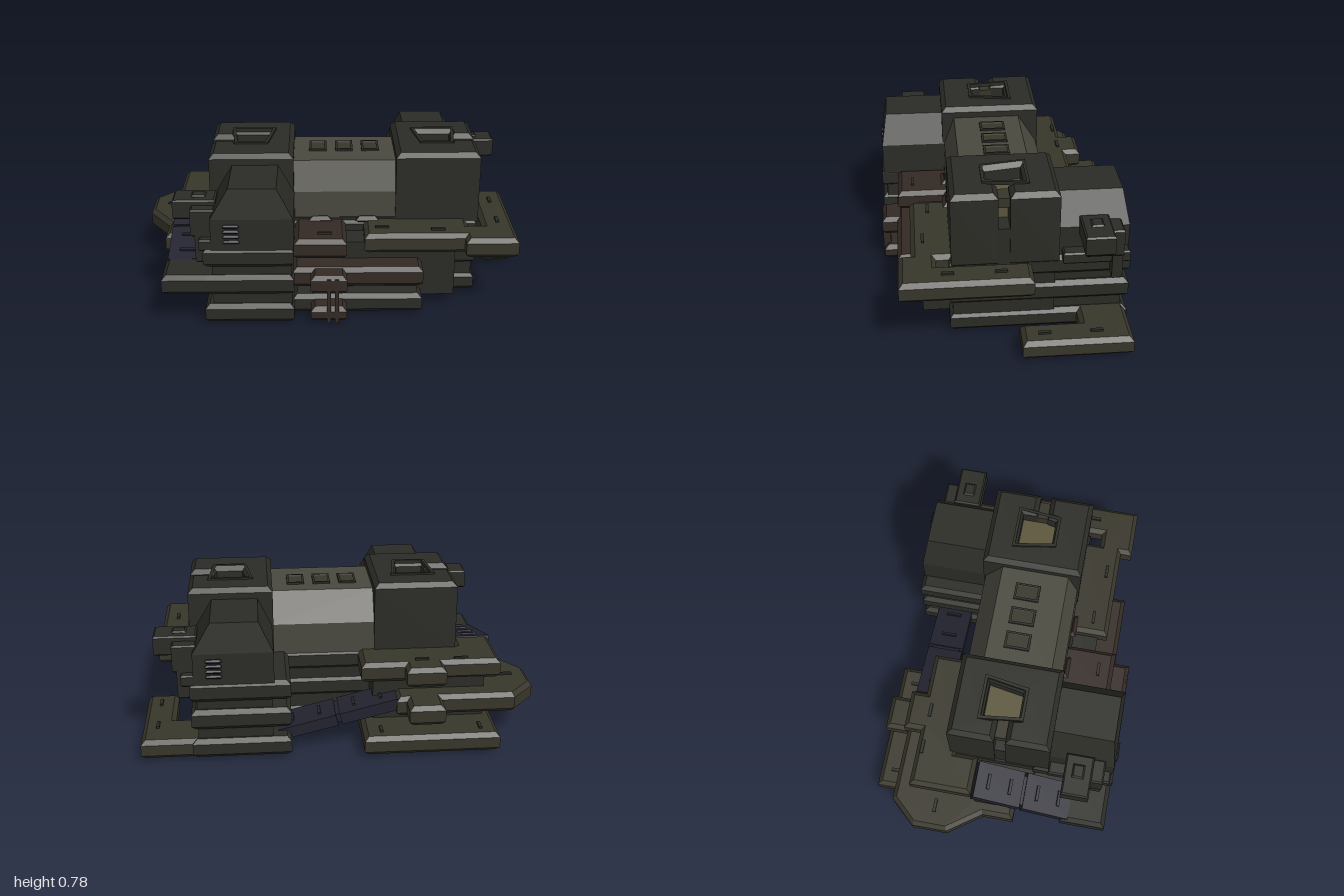
import * as THREE from 'three';

const mat = (color) => new THREE.MeshStandardMaterial({ color, flatShading: true });
const DARK = mat(0x2b2b26), OLIVE = mat(0x38362a), NAVY = mat(0x232330);
const BROWN = mat(0x332a24), LIGHT = mat(0x4a493f), GOLD = mat(0x5c563c);

export function createModel() {
  const model = new THREE.Group();

  const add = (name, geometry, material, parent = model) => {
    const mesh = new THREE.Mesh(geometry, material);
    mesh.name = name;
    parent.add(mesh);
    return mesh;
  };

  // Box given by its limits
  const box = (name, x0, x1, y0, y1, z0, z1, material = DARK) => {
    const mesh = add(name, new THREE.BoxGeometry(x1 - x0, y1 - y0, z1 - z0), material);
    mesh.position.set((x0 + x1) / 2, (y0 + y1) / 2, (z0 + z1) / 2);
    return mesh;
  };

  // Chamfered slab from a plan outline of [x, z] points
  const slab = (name, plan, y0, y1, material = DARK, bevel = 0.022, hole) => {
    const toV = ([x, z]) => new THREE.Vector2(x, -z);
    const shape = new THREE.Shape(plan.map(toV));
    if (hole) shape.holes.push(new THREE.Path(hole.map(toV)));
    const geo = new THREE.ExtrudeGeometry(shape, {
      depth: y1 - y0 - 2 * bevel, bevelEnabled: bevel > 0, bevelThickness: bevel,
      bevelSize: bevel, bevelOffset: -bevel, bevelSegments: 1,
    });
    geo.rotateX(-Math.PI / 2).translate(0, y0 + bevel, 0);
    return add(name, geo, material);
  };
  const rect = (x0, x1, z0, z1) => [[x0, z0], [x1, z0], [x1, z1], [x0, z1]];

  // Solid lofted between two or more rectangles [y, x0, x1, z0, z1]
  const loft = (name, rings, material = DARK) => {
    const pos = [], index = [];
    rings.forEach(([y, x0, x1, z0, z1]) => pos.push(x0, y, z1, x1, y, z1, x1, y, z0, x0, y, z0));
    for (let r = 0; r + 1 < rings.length; r++) {
      for (let i = 0; i < 4; i++) {
        const a = r * 4 + i, b = r * 4 + (i + 1) % 4;
        index.push(a, b, b + 4, a, b + 4, a + 4);
      }
    }
    const t = (rings.length - 1) * 4;
    index.push(t, t + 1, t + 2, t, t + 2, t + 3, 0, 2, 1, 0, 3, 2);
    const geo = new THREE.BufferGeometry();
    geo.setAttribute('position', new THREE.Float32BufferAttribute(pos, 3));
    geo.setIndex(index);
    const flat = geo.toNonIndexed();
    flat.computeVertexNormals();
    return add(name, flat, material);
  };

  // Foundation and inner cores joining the storeys
  loft('footPlate', [[0, -0.46, 0.6, -0.2, 0.25], [0.03, -0.54, 0.68, -0.22, 0.27]]);
  loft('wingFootFront', [[0, -0.46, -0.24, 0.2, 0.42], [0.03, -0.56, -0.21, 0.2, 0.56]]);
  loft('wingFootBack', [[0, 0.38, 0.6, -0.4, -0.15], [0.03, 0.34, 0.68, -0.53, -0.15]]);
  box('mainCore', -0.6, 0.725, 0.02, 0.43, -0.22, 0.275);
  box('frontWingCore', -0.59, -0.2, 0.02, 0.43, 0.2, 0.59);
  box('backWingCore', 0.34, 0.71, 0.02, 0.43, -0.55, -0.2);
  box('backLeftCore', -0.74, -0.17, 0.06, 0.36, -0.4, -0.2);
  box('frontCore', -0.15, 0.62, 0.06, 0.36, 0.2, 0.42);

  // Stacked storey bands around the main body and the two wings
  for (const [y0, y1] of [[0.01, 0.11], [0.165, 0.27], [0.315, 0.42]]) {
    slab('mainBand', rect(-0.62, 0.74, -0.235, 0.29), y0, y1);
    slab('frontWingBand', rect(-0.63, -0.19, 0.2, 0.615), y0, y1);
    slab('backWingBand', rect(0.25, 0.74, -0.58, -0.18), y0, y1);
  }

  // Lower terraces
  slab('lowerBackTerrace', rect(-0.79, -0.11, -0.62, -0.18), 0.01, 0.11, OLIVE);
  slab('lowerRightTerrace', [[0.6, -0.57], [0.995, -0.57], [0.995, -0.04], [0.835, -0.04],
    [0.835, -0.33], [0.6, -0.33]], 0.01, 0.11, OLIVE);
  slab('lowerFrontTerrace', rect(-0.2, 0.45, 0.2, 0.52), 0.01, 0.11);

  // Middle terraces
  slab('middleBackTerrace', [[-1, -0.37], [-0.88, -0.5], [-0.51, -0.5], [-0.51, -0.62],
    [-0.33, -0.62], [-0.33, -0.51], [-0.28, -0.51], [-0.28, -0.18], [-0.66, -0.18],
    [-0.66, -0.05], [-0.8, -0.05], [-0.8, 0.14], [-0.88, 0.14], [-0.88, -0.02], [-1, -0.19]],
  0.165, 0.27, OLIVE);
  slab('middleFrontTerrace', rect(-0.2, 0.45, 0.2, 0.54), 0.165, 0.27, BROWN);
  slab('middleLeftTerrace', rect(-0.84, -0.55, 0.38, 0.615), 0.165, 0.27);

  // Upper terraces
  slab('upperFrontTerrace', [[0.16, 0.25], [0.69, 0.25], [0.69, 0.35], [0.76, 0.35],
    [0.76, -0.1], [0.92, -0.1], [0.92, 0.53], [0.66, 0.53], [0.66, 0.47], [0.16, 0.47]],
  0.315, 0.42, OLIVE);
  slab('upperBackTerrace', [[-0.82, -0.41], [-0.53, -0.41], [-0.53, -0.5], [-0.33, -0.5],
    [-0.33, -0.42], [-0.11, -0.42], [-0.11, -0.2], [-0.62, -0.2], [-0.62, -0.09],
    [-0.82, -0.09]], 0.315, 0.42, OLIVE);
  slab('upperEntryTerrace', rect(-0.19, 0.07, 0.25, 0.53), 0.315, 0.42, BROWN);

  // Front landing with two posts
  slab('frontLanding', rect(-0.11, 0.07, 0.45, 0.62), 0.165, 0.265, BROWN);
  slab('frontLandingBase', rect(-0.11, 0.07, 0.45, 0.615), 0.01, 0.09, BROWN);
  for (const x of [-0.02, 0.02]) box('landingPost', x - 0.01, x + 0.01, 0.01, 0.25, 0.58, 0.62, BROWN);
  for (const x of [-0.06, 0.18]) slab('entryStep', rect(x - 0.06, x + 0.06, 0.26, 0.3), 0.4, 0.44, BROWN);

  // Ramps between terraces, each in two hinged panels
  const ramp = (name, from, to, width) => {
    const a = new THREE.Vector3(...from), b = new THREE.Vector3(...to);
    const group = new THREE.Group();
    group.name = name;
    group.position.copy(a).add(b).multiplyScalar(0.5);
    group.lookAt(b);
    const length = a.distanceTo(b);
    for (const s of [-1, 1]) {
      const panel = add('rampPanel', new THREE.BoxGeometry(width, 0.06, length * 0.47), NAVY, group);
      panel.position.z = s * length * 0.25;
      for (const k of [-1, 1]) {
        add('rampTread', new THREE.BoxGeometry(0.08, 0.012, 0.015), NAVY, group)
          .position.set(0, 0.034, s * length * 0.25 + k * length * 0.11);
      }
    }
    add('rampHinge', new THREE.BoxGeometry(width * 0.8, 0.045, length * 0.1), NAVY, group);
    model.add(group);
  };
  ramp('leftRamp', [-0.735, 0.385, -0.09], [-0.735, 0.24, 0.42], 0.19);
  ramp('backRamp', [-0.3, 0.235, -0.405], [0.32, 0.08, -0.405], 0.19);

  // Central hall with sloped shoulders
  const hall = new THREE.Shape([[0.27, 0.4], [0.27, 0.57], [0.215, 0.72], [-0.13, 0.72],
    [-0.225, 0.57], [-0.225, 0.4]].map(([z, y]) => new THREE.Vector2(-z, y)));
  add('centralHall', new THREE.ExtrudeGeometry(hall, { depth: 0.56, bevelEnabled: false })
    .rotateY(Math.PI / 2).translate(-0.22, 0, 0), LIGHT);
  for (const x of [-0.07, 0.065, 0.2]) {
    slab('skylightFrame', rect(x - 0.045, x + 0.045, -0.045, 0.085), 0.715, 0.73, DARK, 0,
      rect(x - 0.033, x + 0.033, -0.033, 0.073));
    box('skylight', x - 0.033, x + 0.033, 0.715, 0.722, -0.033, 0.073, OLIVE);
  }

  // Twin towers: a slot in the outer wall opens into a tapered roof well
  const tower = (name, cx, half, s) => {
    const plan = [[-half, -0.235], [half, -0.235], [half, 0], [0.09, 0], [0.09, -0.075],
      [-0.09, -0.075], [-0.06, 0.1], [0.075, 0.1], [0.085, 0.055], [half, 0.055],
      [half, 0.28], [-half, 0.28]].map(([x, z]) => [cx + s * x, z]);
    slab(name, plan, 0.38, 0.775, DARK, 0.024);
    const xs = (a, b) => [cx + s * a, cx + s * b].sort((p, q) => p - q);
    box('roofWellFloor', ...xs(-0.1, 0.1), 0.4, 0.69, -0.085, 0.11, GOLD);
    box('slotSill', ...xs(0.09, half - 0.005), 0.4, 0.59, -0.01, 0.065);
    box('slotCover', ...xs(0.09, half - 0.03), 0.69, 0.74, -0.01, 0.065, OLIVE);
    slab('roofRim', [[-0.115, -0.1], [0.115, -0.1], [0.09, 0.125], [-0.08, 0.125]]
      .map(([x, z]) => [cx + s * x, z]), 0.765, 0.784, DARK, 0,
    [[-0.098, -0.085], [0.098, -0.085], [0.075, 0.11], [-0.065, 0.11]]
      .map(([x, z]) => [cx + s * x, z]));
  };
  tower('leftSideTower', 0.535, 0.212, 1);
  tower('rightSideTower', -0.405, 0.212, -1);

  // Wings with tapered roofs
  loft('frontWing', [[0.4, -0.59, -0.19, 0.2, 0.605], [0.57, -0.59, -0.19, 0.2, 0.605],
    [0.72, -0.5, -0.27, 0.2, 0.58]]);
  loft('backWing', [[0.4, 0.33, 0.72, -0.57, -0.15], [0.57, 0.33, 0.72, -0.57, -0.15],
    [0.72, 0.4, 0.63, -0.545, -0.15]]);

  // Side equipment on the outer face of each wing, s gives the side
  const equipment = (s, wall, zOf) => {
    const part = (name, a, b, y0, y1, c, d, m = DARK) => {
      const xs = [wall + s * a, wall + s * b].sort((p, q) => p - q);
      const zs = [zOf(c), zOf(d)].sort((p, q) => p - q);
      slab(name, rect(...xs, ...zs), y0, y1, m, 0.008);
    };
    part('sidePod', -0.02, 0.19, 0.525, 0.625, 0.0, 0.14);
    part('sidePodNeck', -0.02, 0.1, 0.46, 0.6, 0.02, 0.2);
    part('sidePodCap', 0.03, 0.1, 0.62, 0.635, 0.04, 0.1);
    part('sideLedge', -0.02, 0.06, 0.4, 0.46, -0.08, 0.24);
    part('sidePillar', 0.0, 0.08, 0.32, 0.6, 0.15, 0.2);
    for (let i = 0; i < 4; i++) {
      part('ventRib', -0.14, -0.06, 0.445 + i * 0.027, 0.463 + i * 0.027, 0.2, 0.258, NAVY);
    }
  };
  equipment(-1, -0.59, (z) => 0.36 + z);
  equipment(1, 0.72, (z) => -0.33 - z);

  // Small hatches on the terraces
  const hatches = [[-0.88, -0.27, 0.27, 1], [-0.7, -0.53, 0.11, 0], [-0.2, -0.53, 0.11, 0],
    [-0.62, -0.38, 0.42, 1], [-0.42, -0.38, 0.42, 1], [0.92, -0.4, 0.11, 0], [0.92, -0.15, 0.11, 0],
    [0.84, 0.05, 0.42, 0], [0.84, 0.3, 0.42, 0], [0.53, 0.41, 0.42, 1], [0.25, 0.38, 0.42, 1],
    [-0.04, 0.45, 0.42, 1]];
  for (const [x, z, y, wide] of hatches) {
    const w = wide ? 0.035 : 0.008, d = wide ? 0.008 : 0.03;
    box('terraceHatch', x - w, x + w, y - 0.01, y + 0.01, z - d, z + d, DARK);
  }
  return model;
}
